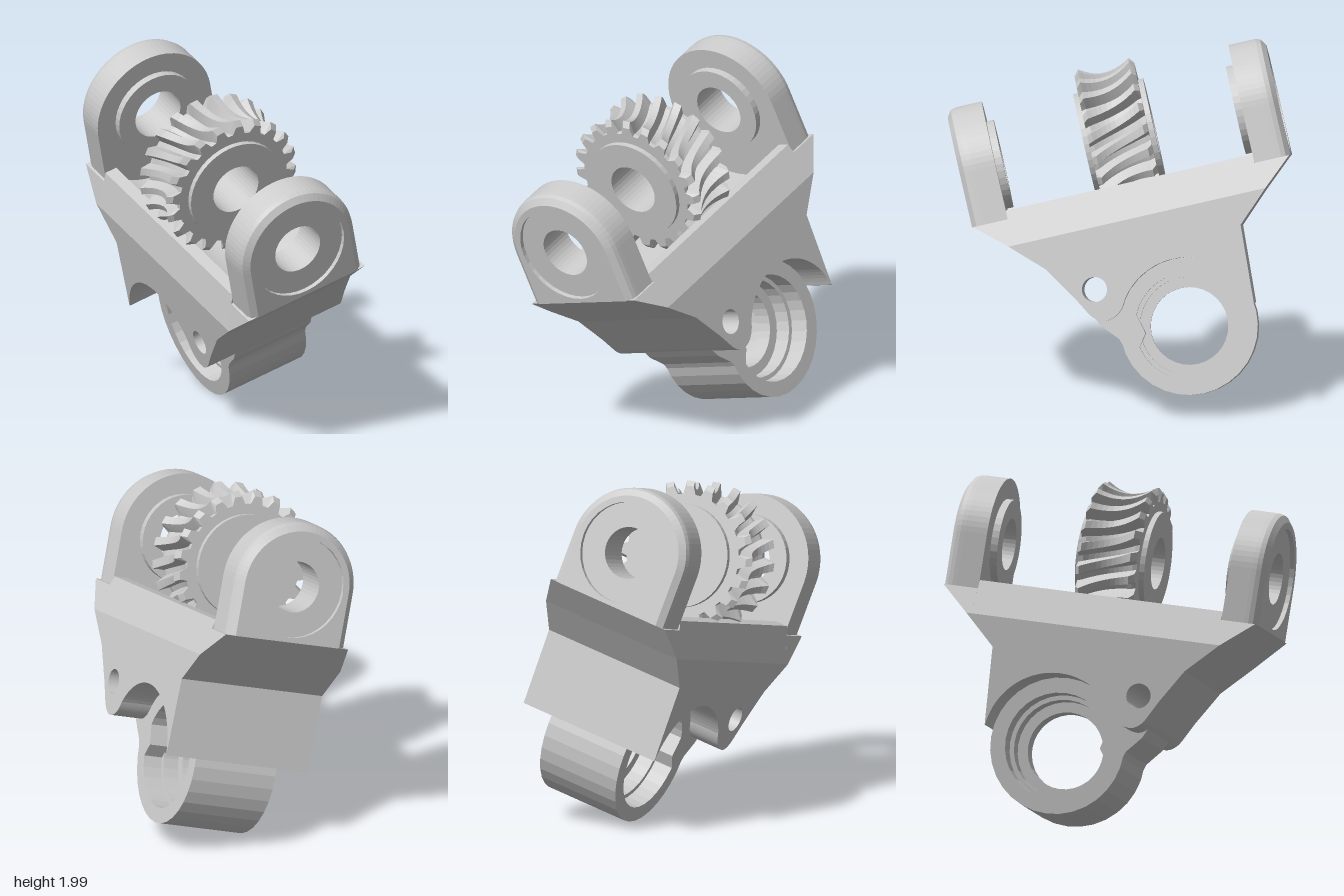
import * as THREE from 'three';

const material = new THREE.MeshStandardMaterial({ color: 0xcccccc, flatShading: true });
const HALF_PI = Math.PI / 2;

function mesh(name, geometry) {
  const m = new THREE.Mesh(geometry, material);
  m.name = name;
  return m;
}

const shapeOf = pts => new THREE.Shape(pts.map(p => new THREE.Vector2(...p)));

function circleHole(x, y, r) {
  return new THREE.Path().absarc(x, y, r, 0, Math.PI * 2, true);
}

function extrude(shape, depth, z0, steps = 1) {
  return new THREE.ExtrudeGeometry(shape, { depth, steps, bevelEnabled: false, curveSegments: 18 }).translate(0, 0, z0);
}

// Extrusion of a (z, y) profile, centred across the width
const extrudeAcross = (shape, width) => extrude(shape, width, -width / 2).rotateY(-HALF_PI);

// Ring turned from a closed (radius, axis) profile
function turned(profile, segments) {
  const pts = [...profile, profile[0]].map(p => new THREE.Vector2(...p));
  return new THREE.LatheGeometry(pts, segments);
}

// Moves every vertex by a rule and refreshes the normals
function reshape(geometry, rule) {
  const p = geometry.attributes.position;
  const v = new THREE.Vector3();
  for (let i = 0; i < p.count; i++) {
    rule(v.fromBufferAttribute(p, i));
    p.setXYZ(i, v.x, v.y, v.z);
  }
  geometry.computeVertexNormals();
  return geometry;
}

// Helical teeth with a concave throat, built from rings along the axis
function wormWheelTeeth() {
  const teeth = 20, half = 0.17, slices = 10;
  const tooth = [[0, 0], [0.3, 0], [0.47, 1], [0.83, 1]];
  const n = teeth * tooth.length;
  const positions = [], index = [];
  const ring = (z, radius) => {
    for (let i = 0; i < n; i++) {
      const [f, h] = tooth[i % tooth.length];
      const a = (Math.floor(i / tooth.length) + f) / teeth * Math.PI * 2 - 0.9 * z;
      const r = radius(h);
      positions.push(r * Math.cos(a), r * Math.sin(a), z);
    }
  };
  ring(-half, () => 0.27);
  ring(-half, h => 0.345 + 0.045 * h);
  for (let s = 0; s <= slices; s++) {
    const t = (s / slices) * 2 - 1;
    ring(t * half * 0.85, h => 0.31 + 0.035 * t * t + h * (0.06 + 0.015 * t * t));
  }
  ring(half, h => 0.345 + 0.045 * h);
  ring(half, () => 0.27);
  for (let s = 0; s < slices + 4; s++) {
    for (let i = 0; i < n; i++) {
      const j = (i + 1) % n;
      const a = s * n + i, b = s * n + j, c = a + n, d = b + n;
      index.push(a, b, d, a, d, c);
    }
  }
  const g = new THREE.BufferGeometry();
  g.setAttribute('position', new THREE.Float32BufferAttribute(positions, 3));
  g.setIndex(index);
  g.computeVertexNormals();
  return g;
}

// Upright bearing lug with rounded outer rim, bushing and sloped foot
function bearingLug() {
  const lug = new THREE.Group();
  const outline = new THREE.Shape();
  outline.moveTo(-0.365, -0.31);
  outline.lineTo(0.365, -0.31);
  outline.lineTo(0.365, 0);
  outline.absarc(0, 0, 0.365, 0, Math.PI, false);
  outline.closePath();
  outline.holes.push(circleHole(0, 0, 0.285));
  const cheek = reshape(extrude(outline, 0.205, 0.706, 8), v => {
    if (Math.hypot(v.x, v.y) < 0.3) return;
    const t = Math.max(0, (v.z - 0.846) / 0.065);
    const k = 1 - 0.045 * (1 - Math.sqrt(Math.max(0, 1 - t * t))) / 0.365;
    v.x *= k;
    if (v.y > 0) v.y *= k;
  });
  lug.add(mesh('lugCheek', cheek));

  const bushing = turned([[0.145, 0.665], [0.25, 0.665], [0.25, 0.706], [0.29, 0.706], [0.29, 0.885], [0.145, 0.885]], 40);
  lug.add(mesh('lugBushing', bushing.rotateX(HALF_PI)));

  const foot = shapeOf([[-0.435, -0.46], [0.435, -0.46], [0.379, -0.31], [-0.379, -0.31]]);
  lug.add(mesh('lugFoot', reshape(extrude(foot, 0.199, 0.706), v => {
    if (v.z > 0.8 && v.y < -0.4) v.z = 0.735;
  })));
  return lug;
}

export function createModel() {
  const model = new THREE.Group();
  model.name = 'wormWheelBracket';
  const tilted = new THREE.Group();
  tilted.name = 'tiltedAssembly';
  tilted.position.set(-0.155, 1.464, 0.008);
  tilted.rotation.set(0.22, 0, 0.288);
  model.add(tilted);

  // Worm wheel
  const wheel = new THREE.Group();
  wheel.name = 'wormWheel';
  wheel.add(mesh('wheelTeeth', wormWheelTeeth()));
  const hub = turned([[0.145, -0.2], [0.29, -0.2], [0.29, 0.2], [0.145, 0.2]], 40);
  wheel.add(mesh('wheelHub', hub.rotateX(HALF_PI)));
  tilted.add(wheel);

  // Front and back bearing lugs
  ['frontLug', 'backLug'].forEach((name, i) => {
    const lug = bearingLug();
    lug.name = name;
    lug.rotation.y = i * Math.PI;
    tilted.add(lug);
  });

  // Trough under the wheel, widening downwards
  const trough = new THREE.Shape();
  trough.moveTo(-0.435, -0.46);
  trough.lineTo(0.435, -0.46);
  trough.lineTo(0.36, -0.26);
  trough.lineTo(0.29, -0.26);
  const a = Math.atan2(-0.3375, 0.29);
  trough.absarc(0, 0, 0.445, a, -Math.PI - a, true);
  trough.lineTo(-0.29, -0.26);
  trough.lineTo(-0.36, -0.26);
  trough.closePath();
  tilted.add(mesh('trough', extrude(trough, 1.412, -0.706)));

  // Lower body arched over the sleeve, with a rounded drilled ear
  const tubeZ = -0.145, tubeY = -1.115, tubeR = 0.385;
  const body = new THREE.Shape();
  body.moveTo(0.735, -0.46);
  body.lineTo(-0.735, -0.46);
  body.lineTo(-0.555, -0.63);
  body.lineTo(-0.53, -1.07);
  body.absarc(tubeZ, tubeY, tubeR, Math.PI * 0.96, Math.PI * 0.2, true);
  body.quadraticCurveTo(0.21, -0.985, 0.3, -0.985);
  body.quadraticCurveTo(0.35, -0.98, 0.385, -0.92);
  body.lineTo(0.44, -0.82);
  body.lineTo(0.56, -0.63);
  body.closePath();
  body.holes.push(circleHole(0.32, -0.8, 0.07));
  tilted.add(mesh('lowerBody', extrudeAcross(body, 0.87)));

  // Gusset joining the ear to the sleeve
  const gusset = shapeOf([[0.15, -0.89], [0.1, -1.1], [0.2, -1.24], [0.25, -1.1], [0.33, -1.01], [0.37, -0.93]]);
  tilted.add(mesh('sleeveGusset', extrudeAcross(gusset, 0.5)));

  // Cross sleeve with stepped bore
  const sleeve = turned([
    [tubeR, -0.25], [tubeR, 0.25], [0.3, 0.25], [0.3, 0.14], [0.275, 0.14], [0.275, 0.05], [0.217, 0.05],
    [0.217, -0.05], [0.275, -0.05], [0.275, -0.14], [0.3, -0.14], [0.3, -0.25],
  ], 32).rotateZ(-HALF_PI).translate(0, tubeY, tubeZ);
  tilted.add(mesh('crossSleeve', sleeve));

  return model;
}
